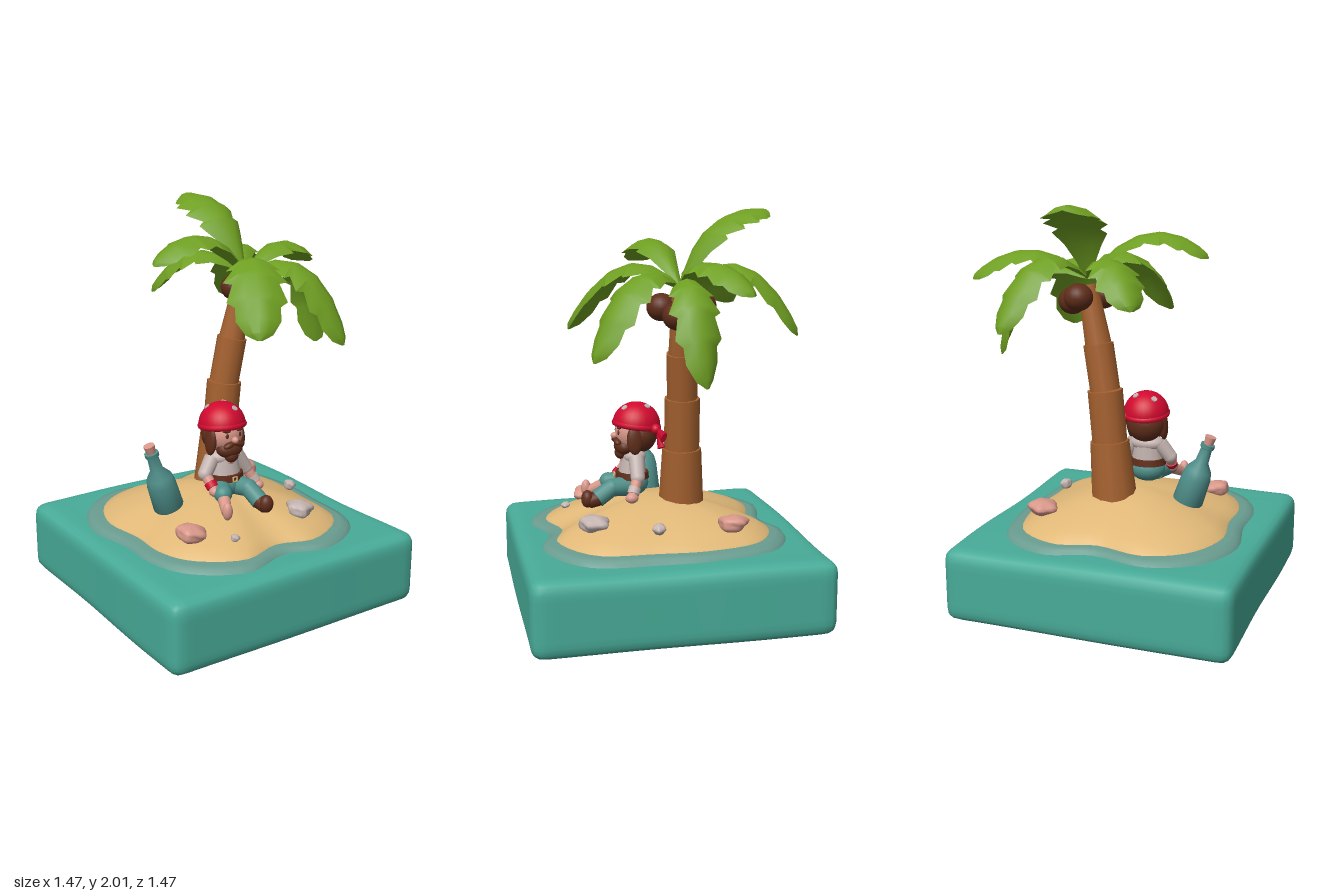
import * as THREE from 'three';
import { mergeVertices, toCreasedNormals } from 'three/addons/utils/BufferGeometryUtils.js';

const mat = (name, color, side = THREE.FrontSide) => {
  const m = new THREE.MeshStandardMaterial({ color, side });
  m.name = name;
  return m;
};
const V = (x, y, z) => new THREE.Vector3(x, y, z);

// Weld a geometry after its vertices were moved, and smooth it
function weld(geo) {
  geo.deleteAttribute('uv');
  geo.deleteAttribute('normal');
  const g = mergeVertices(geo, 1e-4);
  g.computeVertexNormals();
  return g;
}

export function createModel() {
  const M = {
    water: mat('sea teal', 0x48ab98), wet: mat('wet sand grey', 0x6a9c90),
    sand: mat('sand', 0xe0b878), trunk: mat('trunk brown', 0xa5612f),
    leaf: mat('leaf green', 0x6f9f22, THREE.DoubleSide), dark: mat('dark brown', 0x5f2d1a),
    red: mat('red', 0xd0092f), skin: mat('skin pink', 0xd9988a),
    shirt: mat('shirt grey', 0xc4b4b0), cloth: mat('faded teal', 0x4f8f8a),
  };
  const root = new THREE.Group();
  root.name = 'desertIsland';

  const add = (parent, name, geo, material, pos = [0, 0, 0], rot = [0, 0, 0]) => {
    const mesh = new THREE.Mesh(geo, material);
    mesh.name = name;
    mesh.position.set(...pos);
    mesh.rotation.set(...rot);
    parent.add(mesh);
    return mesh;
  };
  const group = (name) => {
    const g = new THREE.Group();
    g.name = name;
    root.add(g);
    return g;
  };
  const ball = (parent, name, material, pos, size, rot) => {
    const m = add(parent, name, new THREE.SphereGeometry(1, 20, 14), material, pos, rot);
    m.scale.set(...size);
    return m;
  };
  // Tapered tube between two points
  const limb = (parent, name, material, a, b, r1, r2, sides = 14) => {
    const p = V(...a), q = V(...b), d = q.clone().sub(p);
    const m = add(parent, name, new THREE.CylinderGeometry(r2, r1, d.length(), sides), material);
    m.position.copy(p).add(q).multiplyScalar(0.5);
    m.quaternion.setFromUnitVectors(V(0, 1, 0), d.normalize());
    return m;
  };

  // Block of sea: a finely divided box with rounded, gently wavy faces
  const half = V(0.725, 0.187, 0.735), rad = 0.06;
  const block = new THREE.BoxGeometry(1.45, 0.374, 1.47, 36, 12, 36);
  const bp = block.attributes.position;
  for (let i = 0; i < bp.count; i++) {
    const p = V().fromBufferAttribute(bp, i);
    const core = p.clone().clamp(half.clone().negate().addScalar(rad), half.clone().subScalar(rad));
    p.sub(core).normalize().multiplyScalar(rad).add(core);
    const wave = 0.006 * Math.sin(5 * p.x + 2) + 0.005 * Math.cos(6 * p.z + 3 * p.x);
    p.y += p.y > 0 ? wave * 0.7 : 0;
    p.x *= 1 + wave;
    p.z *= 1 + 0.6 * wave;
    bp.setXYZ(i, p.x, p.y, p.z);
  }
  add(root, 'seaBlock', weld(block), M.water, [-0.01, 0.192, 0]);
  add(root, 'seaBlockUnderside', new THREE.BoxGeometry(1.3, 0.008, 1.32), M.wet, [-0.01, 0.004, 0]);

  // Sandbank: a lathe profile stretched to the shoreline
  const shore = new THREE.CatmullRomCurve3([
    [0, 0.5], [0.2, 0.55], [0.45, 0.4], [0.49, 0.1], [0.5, -0.15], [0.42, -0.42], [0.2, -0.54], [0, -0.49],
    [-0.25, -0.54], [-0.45, -0.43], [-0.55, -0.2], [-0.52, 0.05], [-0.52, 0.25], [-0.45, 0.42], [-0.22, 0.56],
  ].map(([x, z]) => V(x, 0, z)), true);
  function bank(name, profile, material) {
    const segs = 64, n = profile.length;
    const geo = new THREE.LatheGeometry(profile.map(([s, y]) => new THREE.Vector2(s, y)), segs);
    const pos = geo.attributes.position;
    for (let i = 0; i <= segs; i++) {
      const e = shore.getPoint((i % segs) / segs);
      for (let j = 0; j < n; j++) {
        const [s, y] = profile[j];
        pos.setXYZ(i * n + j, e.x * s, y, e.z * s);
      }
    }
    add(root, name, weld(geo), material);
  }
  bank('wetShore', [[1.14, 0.37], [1.11, 0.396], [1.05, 0.404], [0.9, 0.406]], M.wet);
  bank('sandbank', [[1.01, 0.39], [0.98, 0.415], [0.88, 0.447], [0.72, 0.483], [0.5, 0.525],
    [0.3, 0.553], [0.15, 0.565], [0, 0.57]], M.sand);

  // Palm trunk: stacked sections, each with a lip over the narrower one above
  const palm = group('palmTree');
  const spine = [[0.05, 0.53, -0.11], [0.075, 0.82, -0.107], [0.1, 1.08, -0.103], [0.14, 1.31, -0.09], [0.2, 1.6, -0.075]];
  const radii = [[0.116, 0.1], [0.09, 0.09], [0.077, 0.077], [0.067, 0.05]];
  radii.forEach(([r1, r2], i) => limb(palm, 'trunkSection', M.trunk, spine[i], spine[i + 1], r1, r2, 11));
  [[0.15, 1.54, 0.015], [0.3, 1.51, -0.03], [0.21, 1.55, -0.17]].forEach((p) =>
    ball(palm, 'coconut', M.dark, p, [0.073, 0.068, 0.073]));

  // Palm fronds: notched, arched leaf lofted along a bending rib
  const stations = [[0, 0.02], [0.1, 0.045], [0.25, 0.085], [0.4, 0.125], [0.43, 0.095], [0.58, 0.145], [0.62, 0.105],
    [0.76, 0.135], [0.8, 0.1], [0.9, 0.1], [0.97, 0.06], [1, 0.01]];
  const section = [[-1, 0], [-0.5, 1], [0, 1.3], [0.5, 1], [1, 0], [0.5, -0.7], [0, -0.5], [-0.5, -0.7]];
  const hub = V(0.2, 1.63, -0.07);
  function frond(ctrl, tip, scale) {
    const rib = new THREE.QuadraticBezierCurve3(hub, V(...ctrl), V(...tip));
    const pts = [], idx = [], n = section.length;
    stations.forEach(([t, w0], i) => {
      const w = w0 * scale, p = rib.getPoint(t), T = rib.getTangent(t);
      const S = T.clone().cross(V(0, 1, 0)).normalize(), N = S.clone().cross(T);
      section.forEach(([u, h], j) => {
        const lift = h * 0.012 * Math.min(1, w / 0.06) - 0.33 * w * u * u;
        const q = p.clone().addScaledVector(S, u * w).addScaledVector(N, lift)
          .addScaledVector(T, 0.02 * Math.abs(u) * (t < 0.9 ? 1 : 0));
        pts.push(q.x, q.y, q.z);
        const k = (j + 1) % n;
        if (i) idx.push((i - 1) * n + j, i * n + j, i * n + k, (i - 1) * n + j, i * n + k, (i - 1) * n + k);
      });
    });
    const geo = new THREE.BufferGeometry();
    geo.setAttribute('position', new THREE.Float32BufferAttribute(pts, 3));
    geo.setIndex(idx);
    add(palm, 'frond', toCreasedNormals(geo, 0.6), M.leaf);
  }
  [
    [[0.17, 2.04, -0.2], [0.13, 1.99, -0.53], 1.08], [[0.36, 1.93, -0.36], [0.44, 1.42, -0.58], 0.9],
    [[0.5, 1.88, -0.12], [0.73, 1.63, -0.27], 0.85], [[0.6, 1.82, -0.03], [0.68, 1.22, -0.08], 0.85],
    [[0.4, 1.87, 0.22], [0.47, 1.32, 0.4], 1], [[0.08, 1.92, 0.2], [-0.07, 1.42, 0.44], 1.08],
    [[-0.1, 2.0, 0.02], [-0.39, 1.74, 0.03], 0.85], [[0, 1.88, -0.25], [-0.15, 1.53, -0.4], 0.95],
  ].forEach((f) => frond(...f));

  // Seated castaway: torso, belt and shirt opening
  const man = group('castaway');
  const cx = -0.05;
  ball(man, 'hips', M.cloth, [cx, 0.625, 0.125], [0.095, 0.07, 0.085]);
  limb(man, 'shirt', M.shirt, [cx, 0.65, 0.125], [cx, 0.785, 0.115], 0.088, 0.068).scale.z = 0.85;
  ball(man, 'shoulders', M.shirt, [cx, 0.765, 0.115], [0.092, 0.045, 0.062]);
  ball(man, 'chest', M.skin, [cx, 0.755, 0.165], [0.025, 0.04, 0.02]);
  limb(man, 'belt', M.dark, [cx, 0.65, 0.125], [cx, 0.683, 0.125], 0.098, 0.094, 20).scale.z = 0.9;
  add(man, 'buckle', new THREE.TorusGeometry(0.016, 0.005, 6, 4), M.sand, [cx, 0.667, 0.216], [0, 0, Math.PI / 4]);

  // Arms: one resting on the knee, one propped on the sand
  const arms = [
    ['right', [-0.12, 0.765, 0.115], [-0.172, 0.695, 0.13], [-0.16, 0.62, 0.2]],
    ['left', [0.02, 0.765, 0.115], [0.08, 0.675, 0.12], [0.13, 0.585, 0.16]],
  ];
  arms.forEach(([side, a, b, c]) => {
    limb(man, side + 'Sleeve', M.shirt, a, b, 0.04, 0.036);
    ball(man, side + 'Elbow', M.shirt, b, [0.036, 0.036, 0.036]);
    limb(man, side + 'Forearm', M.skin, b, c, 0.029, 0.024);
    const at = (t) => b.map((v, i) => v + (c[i] - v) * t);
    limb(man, side + 'Cuff', side === 'right' ? M.red : M.shirt, at(0.5), at(0.8), 0.032, 0.031);
    ball(man, side + 'Hand', M.skin, c, [0.03, 0.026, 0.033]);
  });

  // Legs: booted left, bare right
  limb(man, 'leftThigh', M.cloth, [-0.01, 0.615, 0.14], [0.015, 0.615, 0.24], 0.055, 0.045);
  ball(man, 'leftKnee', M.cloth, [0.015, 0.615, 0.24], [0.045, 0.045, 0.045]);
  limb(man, 'leftShin', M.cloth, [0.015, 0.615, 0.24], [0.03, 0.565, 0.32], 0.044, 0.046);
  limb(man, 'bootShaft', M.dark, [0.026, 0.572, 0.3], [0.032, 0.553, 0.365], 0.042, 0.036);
  ball(man, 'bootToe', M.dark, [0.032, 0.568, 0.37], [0.036, 0.045, 0.032]);
  limb(man, 'rightThigh', M.cloth, [-0.09, 0.615, 0.14], [-0.135, 0.612, 0.235], 0.055, 0.045);
  ball(man, 'rightKnee', M.cloth, [-0.135, 0.612, 0.235], [0.045, 0.045, 0.045]);
  limb(man, 'rightShin', M.skin, [-0.135, 0.607, 0.235], [-0.178, 0.555, 0.33], 0.034, 0.025);
  ball(man, 'rightFoot', M.skin, [-0.183, 0.568, 0.345], [0.026, 0.045, 0.025]);

  // Head with hair, beard and features
  ball(man, 'head', M.skin, [cx, 0.885, 0.115], [0.094, 0.098, 0.096]);
  ball(man, 'hairBack', M.dark, [cx, 0.875, 0.08], [0.1, 0.095, 0.085]);
  ball(man, 'beard', M.dark, [cx, 0.815, 0.165], [0.072, 0.046, 0.052]);
  ball(man, 'beardTip', M.dark, [cx, 0.782, 0.182], [0.036, 0.034, 0.032]);
  ball(man, 'nose', M.skin, [cx, 0.872, 0.214], [0.017, 0.017, 0.02]);
  for (const s of [-1, 1]) {
    ball(man, 'sideLock', M.dark, [cx + s * 0.085, 0.86, 0.125], [0.022, 0.075, 0.042], [0, 0, s * 0.08]);
    ball(man, 'moustache', M.dark, [cx + s * 0.028, 0.848, 0.205], [0.034, 0.015, 0.02], [0, 0, -s * 0.35]);
    ball(man, 'eye', M.dark, [cx + s * 0.036, 0.893, 0.2], [0.01, 0.013, 0.006]);
    ball(man, 'eyebrow', M.dark, [cx + s * 0.038, 0.918, 0.197], [0.025, 0.008, 0.01], [0, 0, s * 0.15]);
  }

  // Bandana with pale patches, knot and tails
  const bc = V(cx, 0.928, 0.1), br = V(0.117, 0.114, 0.122);
  const scarf = add(man, 'bandana', new THREE.SphereGeometry(1, 28, 14, 0, Math.PI * 2, 0, 1.62), M.red, bc.toArray(), [-0.12, 0, 0]);
  scarf.scale.copy(br);
  const band = add(man, 'bandanaBand', new THREE.TorusGeometry(0.107, 0.016, 8, 28), M.red, [cx, 0.926, 0.1], [Math.PI / 2 - 0.12, 0, 0]);
  band.scale.y = 1.04;
  [[0.25, 0.8, 0.55], [-0.5, 0.75, -0.4], [0.35, 0.85, -0.4]].forEach((d) => {
    const n = V(...d).normalize();
    const patch = add(man, 'bandanaPatch', new THREE.CylinderGeometry(0.016, 0.018, 0.008, 7), M.shirt);
    patch.position.copy(n).multiply(br).add(bc);
    patch.quaternion.setFromUnitVectors(V(0, 1, 0), n);
  });
  ball(man, 'bandanaKnot', M.red, [0.045, 0.915, 0.02], [0.03, 0.027, 0.027]);
  limb(man, 'bandanaTail', M.red, [0.045, 0.915, 0.015], [0.125, 0.885, -0.005], 0.012, 0.03, 8).scale.z = 0.5;
  limb(man, 'bandanaTail', M.red, [0.045, 0.915, 0.01], [0.085, 0.825, 0], 0.012, 0.026, 8).scale.z = 0.5;

  // Corked bottle leaning in the sand
  const bottle = group('bottle');
  bottle.position.set(-0.305, 0.5, 0.0);
  bottle.rotation.set(0.03, 0, 0.32);
  const glass = [[0, 0], [0.07, 0], [0.078, 0.015], [0.074, 0.15], [0.065, 0.19], [0.034, 0.235],
    [0.028, 0.31], [0.036, 0.314], [0.036, 0.334], [0, 0.334]].map(([x, y]) => new THREE.Vector2(x, y));
  add(bottle, 'glass', toCreasedNormals(new THREE.LatheGeometry(glass, 18), 0.7), M.cloth);
  add(bottle, 'cork', new THREE.CylinderGeometry(0.029, 0.023, 0.045, 12), M.skin, [0, 0.353, 0]);

  // Ridged shells and pebbles
  function shell(name, material, pos, size, turn) {
    const geo = weld(new THREE.SphereGeometry(1, 20, 12));
    const p = geo.attributes.position;
    for (let i = 0; i < p.count; i++) {
      const a = Math.atan2(p.getZ(i), p.getX(i));
      const k = 1 + 0.14 * Math.sin(5 * a) * (1 - Math.abs(p.getY(i))) + 0.08 * Math.sin(5 * p.getY(i) + 2 * p.getX(i));
      p.setXYZ(i, p.getX(i) * k, p.getY(i) * k, p.getZ(i) * k);
    }
    geo.computeVertexNormals();
    add(root, name, geo, material, pos, [0.15, turn, -0.1]).scale.set(...size);
  }
  shell('pinkShell', M.skin, [-0.37, 0.49, 0.31], [0.073, 0.042, 0.073], 0.4);
  shell('pinkShell', M.skin, [0.36, 0.495, -0.3], [0.073, 0.042, 0.07], 2);
  shell('greyShell', M.shirt, [0.24, 0.5, 0.37], [0.073, 0.042, 0.065], 1);
  shell('pebble', M.shirt, [0.4, 0.5, 0.08], [0.03, 0.028, 0.03], 0);
  shell('pebble', M.shirt, [-0.21, 0.475, 0.45], [0.022, 0.018, 0.022], 0);
  return root;
}
